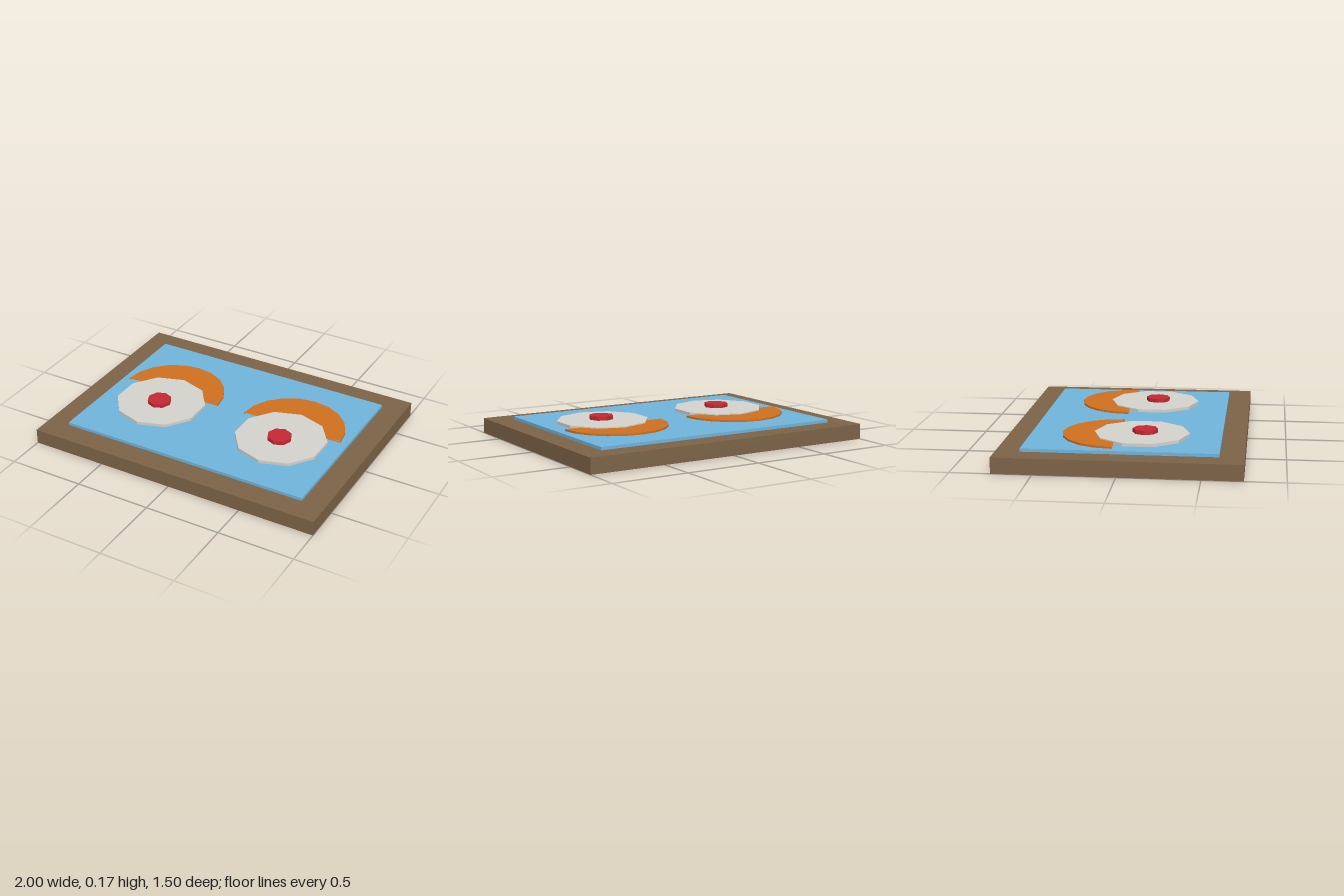
import * as THREE from 'three';

const material = (color, side = THREE.FrontSide) =>
  new THREE.MeshStandardMaterial({ color, flatShading: true, side });

function part(parent, name, geometry, mat, x, bottom, height, z) {
  const mesh = new THREE.Mesh(geometry, mat);
  mesh.name = name;
  mesh.position.set(x, bottom + height / 2, z);
  parent.add(mesh);
}

export function createModel() {
  const model = new THREE.Group();
  model.name = 'framedPanel';
  const wood = material(0x7d6347);
  const blue = material(0x70b4dc);
  const orange = material(0xd07020, THREE.DoubleSide);
  const white = material(0xd4d2cc);
  const red = material(0xc42832);

  // Wooden base with a raised blue panel
  part(model, 'base', new THREE.BoxGeometry(2, 0.1, 1.5), wood, 0, 0, 0.1, 0);
  part(model, 'panel', new THREE.BoxGeometry(1.7, 0.02, 1.2), blue, 0, 0.1, 0.02, 0);

  // Two matching motifs: half disc, faceted disc and centre button
  for (const [side, x] of [['left', 0.45], ['right', -0.45]]) {
    const motif = new THREE.Group();
    motif.name = side + 'Motif';
    motif.position.x = x;
    // Half disc curves towards the back and is open along its straight edge
    part(motif, side + 'HalfDisc',
      new THREE.CylinderGeometry(0.35, 0.35, 0.013, 10, 1, false, Math.PI / 2, Math.PI),
      orange, 0, 0.12, 0.013, -0.05);
    part(motif, side + 'Disc', new THREE.CylinderGeometry(0.3, 0.3, 0.02, 10),
      white, 0, 0.12, 0.02, 0.1);
    part(motif, side + 'Button', new THREE.CylinderGeometry(0.08, 0.08, 0.025, 8),
      red, 0, 0.14, 0.025, 0.12);
    model.add(motif);
  }
  return model;
}
